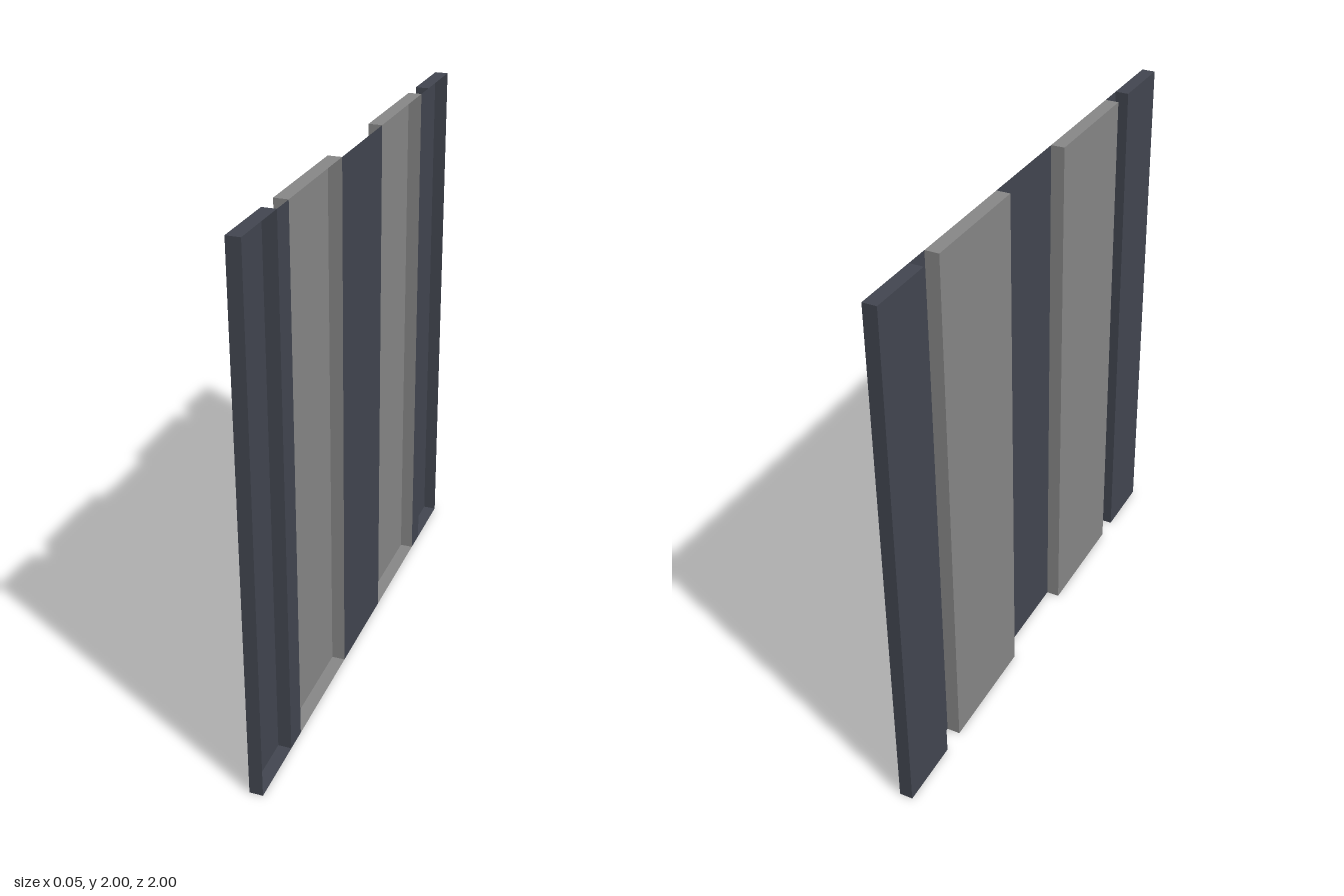
import * as THREE from 'three';

const HEIGHT = 2;
const DEPTH = 0.05;

const darkSlate = new THREE.MeshStandardMaterial({ color: 0x424650, side: THREE.DoubleSide });
darkSlate.name = 'darkSlate';
const midGrey = new THREE.MeshStandardMaterial({ color: 0x878787, side: THREE.DoubleSide });
midGrey.name = 'midGrey';

// Upright tray between two z positions: a thin-walled box left open on its +x side
function makeTray(name, z0, z1, material) {
  const geometry = new THREE.BoxGeometry(DEPTH, HEIGHT, z1 - z0);
  geometry.setIndex(Array.from(geometry.index.array).slice(6)); // drop the +x face
  geometry.clearGroups();
  const mesh = new THREE.Mesh(geometry, material);
  mesh.name = name;
  mesh.position.set(0, HEIGHT / 2, (z0 + z1) / 2);
  return mesh;
}

// Flat sheet on the +x side, joining neighbouring trays
function makeSheet(name, z0, z1) {
  const geometry = new THREE.PlaneGeometry(z1 - z0, HEIGHT).rotateY(Math.PI / 2);
  const mesh = new THREE.Mesh(geometry, darkSlate);
  mesh.name = name;
  mesh.position.set(DEPTH / 2, HEIGHT / 2, (z0 + z1) / 2);
  return mesh;
}

export function createModel() {
  const group = new THREE.Group();
  group.name = 'ribbedWallPanel';

  group.add(makeSheet('centreSheet', -0.2, 0.2));

  // Front and back halves mirror each other
  for (const [side, s] of [['front', 1], ['back', -1]]) {
    const span = (a, b) => (s > 0 ? [a, b] : [-b, -a]);
    group.add(
      makeTray(side + 'GreyPanel', ...span(0.2, 0.655), midGrey),
      makeSheet(side + 'JoiningStrip', ...span(0.655, 0.745)),
      makeTray(side + 'EdgePanel', ...span(0.745, 1), darkSlate)
    );
  }
  return group;
}
